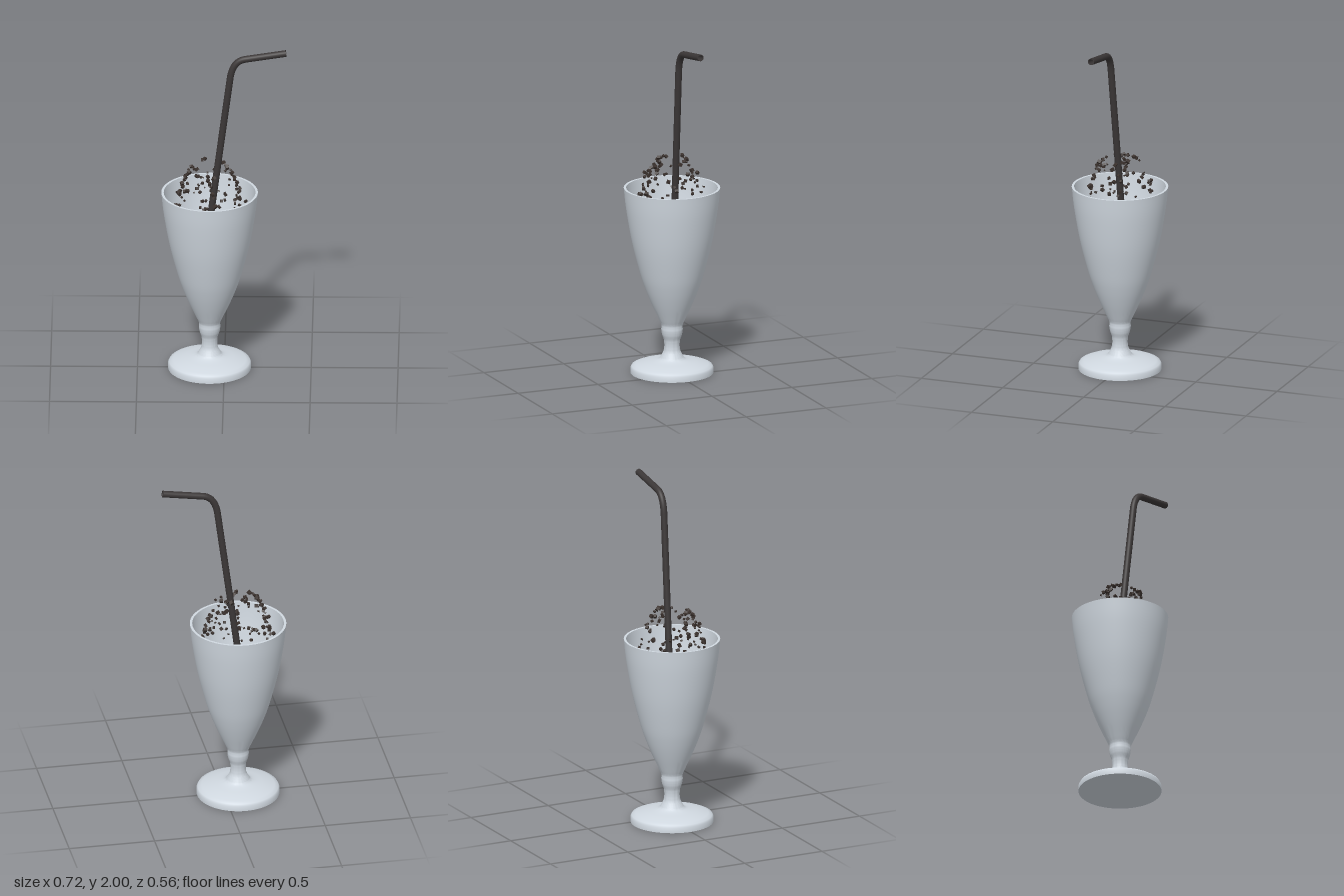
import * as THREE from 'three';
import { toCreasedNormals } from 'three/addons/utils/BufferGeometryUtils.js';

const glassMat = new THREE.MeshStandardMaterial({ color: 0xd0d8e0 });
glassMat.name = 'paleGlass';
const strawMat = new THREE.MeshStandardMaterial({ color: 0x3b3737, side: THREE.DoubleSide });
strawMat.name = 'charcoalStraw';
const crumbMat = new THREE.MeshStandardMaterial({ color: 0x3c332f });
crumbMat.name = 'darkChocolate';

const GLASS_X = -0.085;

function mesh(name, geometry, material) {
  const m = new THREE.Mesh(geometry, material);
  m.name = name;
  return m;
}

// Small seeded generator
function seeded(seed) {
  return () => (seed = (seed * 16807) % 2147483647) / 2147483647;
}

// Smooth run of [radius, height] points
function smooth(points, count) {
  return new THREE.SplineCurve(points.map(([r, y]) => new THREE.Vector2(r, y))).getPoints(count);
}

// Footed glass: foot, stem, bowl, rim and hollow inside as one turned profile
function makeGlass() {
  const foot = [[0, 0], [0.239, 0], [0.239, 0.03], [0.232, 0.042], [0.21, 0.051]]
    .map(([r, y]) => new THREE.Vector2(r, y));
  const outside = smooth([
    [0.15, 0.065], [0.082, 0.08], [0.06, 0.105], [0.046, 0.14], [0.046, 0.19], [0.057, 0.225],
    [0.062, 0.255], [0.062, 0.285], [0.077, 0.32], [0.118, 0.41], [0.154, 0.5], [0.186, 0.6],
    [0.231, 0.78], [0.264, 0.97], [0.278, 1.1],
  ], 70);
  const inside = smooth([
    [0.264, 1.1], [0.25, 0.97], [0.217, 0.78], [0.172, 0.6], [0.14, 0.5],
    [0.1, 0.41], [0.055, 0.35], [0, 0.335],
  ], 36);
  inside[inside.length - 1].x = 0;
  const lathe = new THREE.LatheGeometry([...foot, ...outside, ...inside], 64);
  const glass = mesh('glass', toCreasedNormals(lathe, 0.7), glassMat);
  glass.position.x = GLASS_X;
  return glass;
}

// Bent drinking straw, open at both ends
function makeStraw() {
  const bottom = new THREE.Vector3(-0.142, 0.46, -0.026);
  const bendStart = new THREE.Vector3(0.033, 1.82, 0.009);
  const corner = new THREE.Vector3(0.047, 1.928, 0.01);
  const bendEnd = new THREE.Vector3(0.115, 1.942, 0.01);
  const tip = new THREE.Vector3(0.356, 1.981, 0.01);
  const path = new THREE.CurvePath();
  path.add(new THREE.LineCurve3(bottom, bendStart));
  path.add(new THREE.QuadraticBezierCurve3(bendStart, corner, bendEnd));
  path.add(new THREE.LineCurve3(bendEnd, tip));

  const straw = new THREE.Group();
  straw.name = 'straw';
  straw.add(mesh('strawOuter', new THREE.TubeGeometry(path, 120, 0.0195, 20), strawMat));
  straw.add(mesh('strawInner', new THREE.TubeGeometry(path, 120, 0.0155, 20), strawMat));
  // Thin rings close the wall at each end
  const ends = [[bottom, bendStart], [tip, bendEnd]];
  ends.forEach(([end, next], i) => {
    const ring = mesh(i ? 'strawTip' : 'strawBottom', new THREE.RingGeometry(0.0155, 0.0195, 20), strawMat);
    ring.position.copy(end);
    ring.lookAt(end.clone().multiplyScalar(2).sub(next));
    straw.add(ring);
  });
  return straw;
}

// Chocolate crumbs scattered over a dome that swells above the rim
function makeCrumbs() {
  const rand = seeded(4711);
  const crumbs = new THREE.Group();
  crumbs.name = 'chocolateCrumbs';
  const cube = new THREE.BoxGeometry(1, 1, 1);
  const dome = new THREE.SplineCurve([
    [0.08, 1.28], [0.135, 1.22], [0.17, 1.13], [0.2, 1.04], [0.22, 0.96], [0.225, 0.9],
  ].map(([r, y]) => new THREE.Vector2(r, y)));
  for (let i = 0; i < 145; i++) {
    const p = dome.getPoint(Math.pow(rand(), 0.85));
    const angle = rand() * Math.PI * 2;
    const r = p.x + (rand() - 0.5) * 0.02;
    const size = 0.009 + 0.011 * rand();
    const crumb = mesh('crumb', cube, crumbMat);
    crumb.position.set(GLASS_X + r * Math.cos(angle), p.y, r * Math.sin(angle));
    crumb.rotation.set(rand() * 3, rand() * 3, rand() * 3);
    crumb.scale.set(size, size * (0.7 + 0.3 * rand()), size * (0.8 + 0.4 * rand()));
    crumbs.add(crumb);
  }
  return crumbs;
}

export function createModel() {
  const model = new THREE.Group();
  model.name = 'milkshakeGlass';
  model.add(makeGlass(), makeStraw(), makeCrumbs());
  return model;
}
